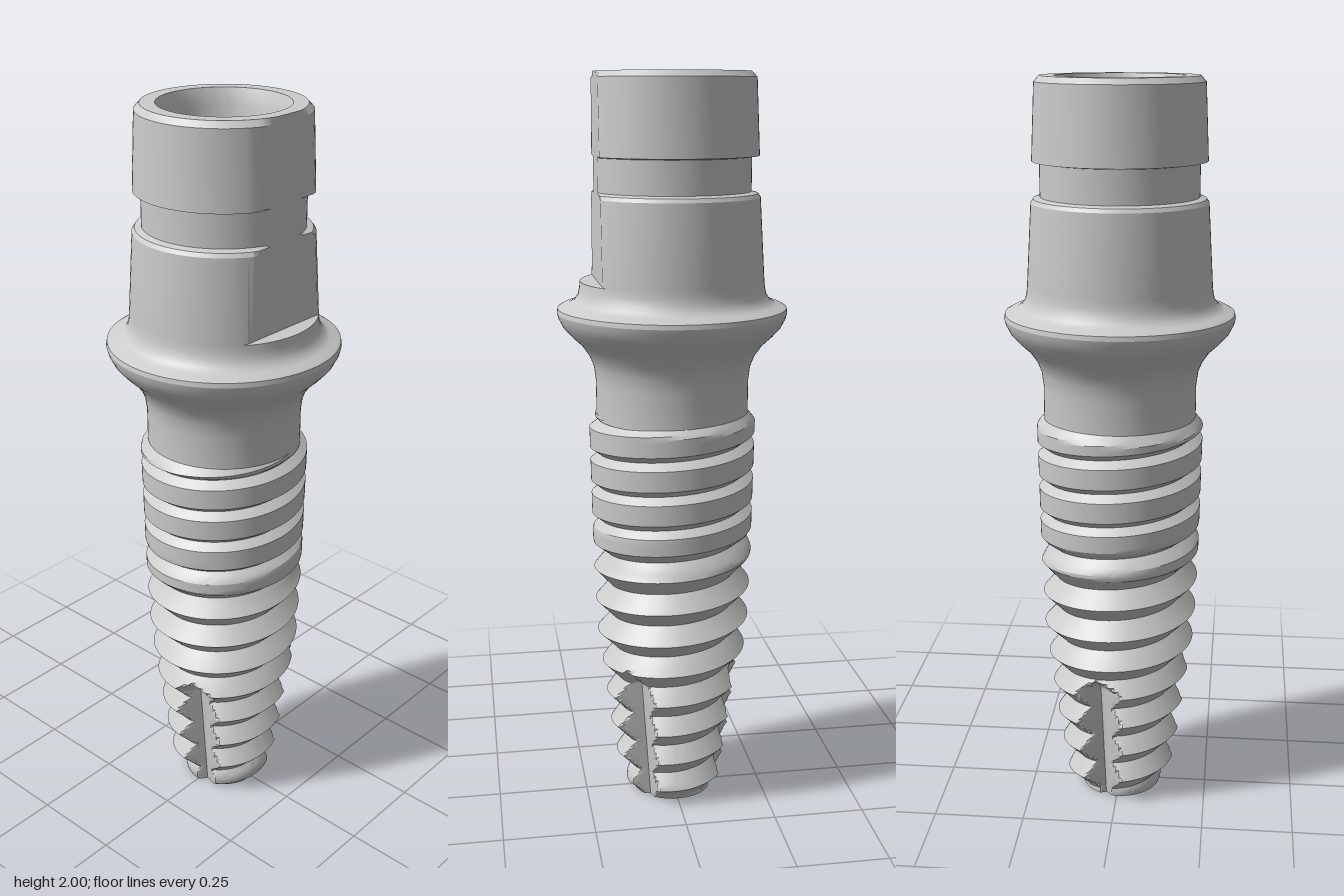
import * as THREE from 'three';
import { toCreasedNormals } from 'three/addons/utils/BufferGeometryUtils.js';

const material = new THREE.MeshStandardMaterial({ color: 0xcccccc });
const { clamp, lerp } = THREE.MathUtils;

// Piecewise linear curve through [y, value] pairs
function curve(points, y) {
  for (let i = 1; i < points.length; i++) {
    const [y0, v0] = points[i - 1], [y1, v1] = points[i];
    if (y <= y1) return lerp(v0, v1, clamp((y - y0) / (y1 - y0), 0, 1));
  }
  return points[points.length - 1][1];
}

// Post with flange, groove, stepped bore and one flat side
function makePost() {
  const profile = [
    [0.19, 1.1], [0.205, 1.1], [0.205, 1.2], [0.21, 1.24], [0.222, 1.27], [0.243, 1.3], [0.27, 1.325],
    [0.29, 1.347], [0.302, 1.37], [0.306, 1.385], [0.304, 1.397], [0.295, 1.402],
    [0.275, 1.407], [0.26, 1.417], [0.25, 1.432], [0.246, 1.45], [0.244, 1.468], [0.244, 1.47],
    [0.231, 1.685], [0.224, 1.695], [0.207, 1.7], [0.207, 1.787], [0.227, 1.79],
    [0.218, 1.985], [0.204, 2], [0.166, 2], [0.15, 1.96],
    [0.147, 1.6], [0.095, 1.5], [0.092, 1.3], [0.08, 1.29], [0, 1.25],
  ].map(([r, y]) => new THREE.Vector2(r, y));
  const geometry = new THREE.LatheGeometry(profile, 96);
  const pos = geometry.attributes.position;
  for (let i = 0; i < pos.count; i++) {
    if (pos.getY(i) > 1.469) pos.setZ(i, Math.min(pos.getZ(i), 0.2));
  }
  return toCreasedNormals(geometry, 0.4);
}

const PITCH = 0.093, TOP = 1.12, SIDES = 96, STEPS = 10;
const crest = [[0, 0.115], [0.05, 0.15], [0.2, 0.174], [0.35, 0.192], [0.5, 0.211], [0.7, 0.218], [1.09, 0.225], [1.12, 0.2]];
const root = [[0, 0.105], [0.2, 0.138], [0.4, 0.16], [0.7, 0.18], [0.82, 0.198], [1.12, 0.2]];
const fluteDepth = [[0, 0.095], [0.36, 0.13], [0.45, 0.24]];

// Radius of the threaded body: V thread below, flat-crested thread above, three flutes at the tip
function threadRadius(theta, y) {
  const turn = y / PITCH - theta / (2 * Math.PI);
  const phase = turn - Math.floor(turn);
  const gain = curve([[0.7, 1], [0.82, 2.5]], y);
  const height = Math.min(1, (1 - Math.abs(2 * phase - 1)) * gain);
  let r = lerp(curve(root, y), curve(crest, y), height);
  if (y < 0.46) {
    const third = 2 * Math.PI / 3;
    let a = theta - 1.257 + third / 2;
    a = a - Math.floor(a / third) * third - third / 2;
    const open = a > 0 ? 1.05 : 0.85;
    if (Math.abs(a) < open) {
      r = Math.min(r, curve(fluteDepth, y) * Math.sin(open) / Math.sin(open - Math.abs(a)));
    }
  }
  return r;
}

// Grid whose rows follow the helix, clipped level at both ends, with a hollow in the tip
function makeThread() {
  const rows = Math.ceil((TOP + PITCH) / PITCH * STEPS);
  const point = (i, j) => {
    const theta = i / SIDES * 2 * Math.PI;
    let y, r;
    if (j < 3) [r, y] = [[0, 0.06], [0.05, 0.04], [0.06, 0]][j];
    else {
      y = clamp((j - 3) / STEPS * PITCH - PITCH + PITCH * i / SIDES, 0, TOP);
      r = threadRadius(theta, y);
    }
    return new THREE.Vector3(r * Math.cos(theta), y, -r * Math.sin(theta));
  };
  const out = [], tri = new THREE.Triangle();
  const add = (a, b, c) => {
    tri.set(a, b, c);
    if (tri.getArea() > 1e-9) for (const p of [a, b, c]) out.push(p.x, p.y, p.z);
  };
  for (let j = 0; j < rows + 3; j++) {
    for (let i = 0; i < SIDES; i++) {
      const a = point(i, j), b = point(i + 1, j), c = point(i + 1, j + 1), d = point(i, j + 1);
      add(a, b, c);
      add(a, c, d);
    }
  }
  const geometry = new THREE.BufferGeometry();
  geometry.setAttribute('position', new THREE.Float32BufferAttribute(out, 3));
  return toCreasedNormals(geometry, 0.45);
}

export function createModel() {
  const group = new THREE.Group();
  const parts = { post: makePost(), threadedBody: makeThread() };
  for (const [name, geometry] of Object.entries(parts)) {
    const mesh = new THREE.Mesh(geometry, material);
    mesh.name = name;
    group.add(mesh);
  }
  return group;
}
